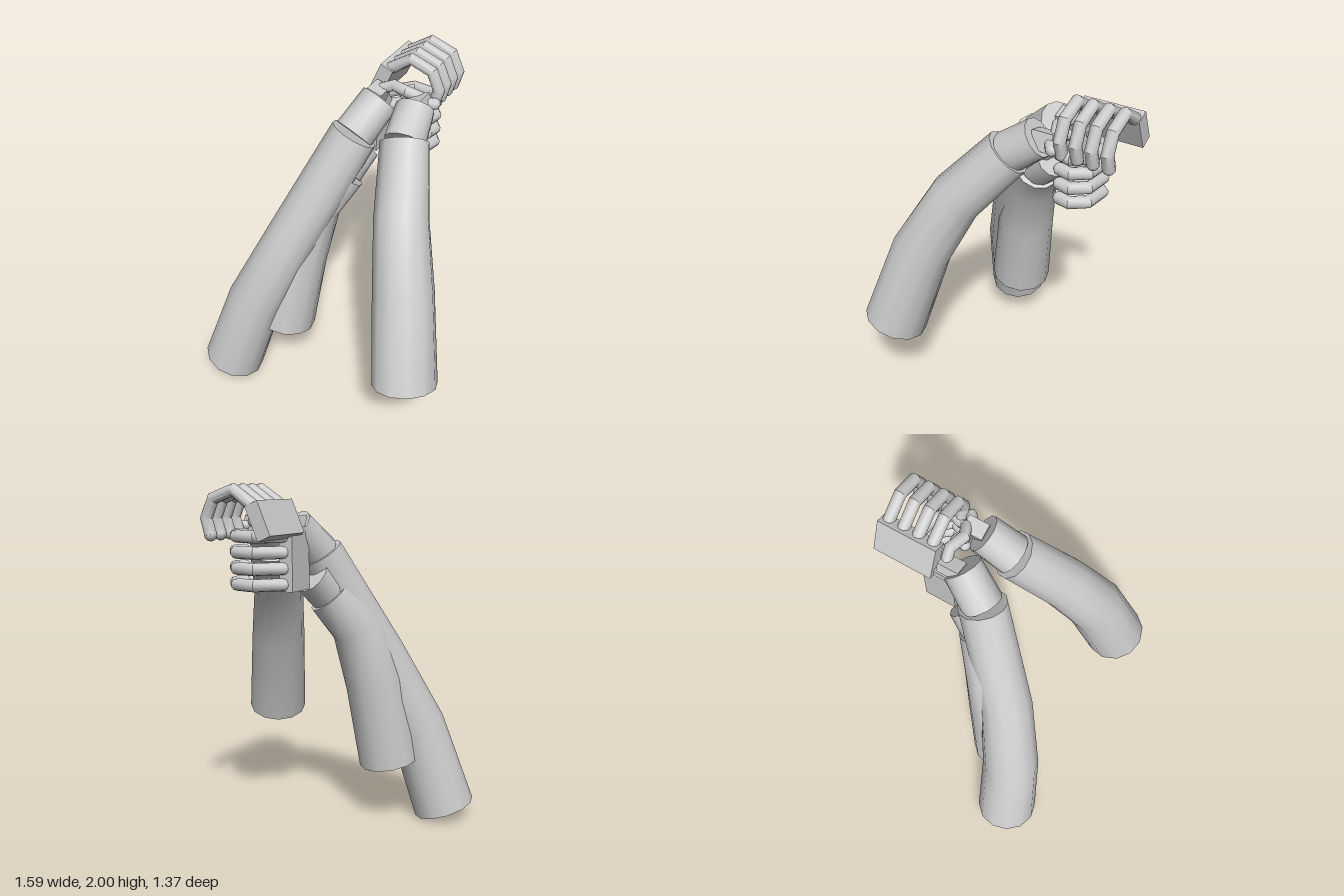
import * as THREE from 'three';
import { toCreasedNormals } from 'three/addons/utils/BufferGeometryUtils.js';

const material = new THREE.MeshStandardMaterial({ color: 0xcccccc });
const vec = (p) => new THREE.Vector3(...p);

// Capped tube through a few points, with one radius per point
function loft(path, radii, sides) {
  const pts = path.map(vec), pos = [], idx = [];
  const last = pts.length - 1;
  pts.forEach((p, i) => {
    const t = new THREE.Vector3();
    if (i > 0) t.add(p.clone().sub(pts[i - 1]).normalize());
    if (i < last) t.add(pts[i + 1].clone().sub(p).normalize());
    t.normalize();
    const ref = vec(Math.abs(pts[last].z - pts[0].z) > 0.1 ? [1, 0, 0] : [0, 0, 1]);
    // fingers lying in the ground plane use a vertical reference
    if (Math.abs(pts[last].y - pts[0].y) < 0.02) ref.set(0, 1, 0);
    const u = ref.addScaledVector(t, -ref.dot(t)).normalize();
    const v = t.clone().cross(u);
    for (let j = 0; j < sides; j++) {
      const a = (j / sides) * Math.PI * 2;
      const q = p.clone().addScaledVector(u, Math.cos(a) * radii[i]).addScaledVector(v, Math.sin(a) * radii[i]);
      pos.push(q.x, q.y, q.z);
    }
  });
  const first = pos.length / 3;
  pos.push(...pts[0].toArray(), ...pts[last].toArray());
  for (let j = 0; j < sides; j++) {
    const k = (j + 1) % sides;
    for (let i = 0; i < last; i++) {
      const a = i * sides + j, b = i * sides + k;
      idx.push(a, b, b + sides, a, b + sides, a + sides);
    }
    idx.push(first, k, j, first + 1, last * sides + j, last * sides + k);
  }
  const geo = new THREE.BufferGeometry();
  geo.setAttribute('position', new THREE.Float32BufferAttribute(pos, 3));
  geo.setIndex(idx);
  return toCreasedNormals(geo, 0.65);
}

function add(parent, name, geo) {
  const mesh = new THREE.Mesh(geo, material);
  mesh.name = name;
  parent.add(mesh);
  return mesh;
}

// Bent finger with rounded ends
function addFinger(parent, name, path, r) {
  const finger = new THREE.Group();
  finger.name = name;
  add(finger, 'fingerTube', loft(path, path.map(() => r), 10));
  for (const end of [path[0], path[path.length - 1]])
    add(finger, 'fingerEnd', new THREE.SphereGeometry(r, 10, 8)).position.set(...end);
  parent.add(finger);
}

function addPalm(parent, size, position, tilt) {
  const palm = add(parent, 'palm', new THREE.BoxGeometry(...size));
  palm.position.set(...position);
  palm.rotation.z = tilt;
}

// Sleeve rings run from the open end up to the cuff; the wrist continues from there
function addArm(parent, name, sleeve, wristEnd) {
  const arm = new THREE.Group();
  arm.name = name;
  add(arm, 'sleeve', loft(sleeve, [0.182, 0.167, 0.149, 0.135], 12));
  add(arm, 'wrist', loft([sleeve[3], wristEnd], [0.115, 0.108], 12));
  parent.add(arm);
  return arm;
}

export function createModel() {
  const model = new THREE.Group();
  model.name = 'claspedArms';

  const rightArm = addArm(model, 'rightArm',
    [[-0.62, 0.06, 0.43], [-0.46, 0.57, 0.36], [-0.27, 1.02, 0.215], [-0.03, 1.61, -0.07]], [0.04, 1.765, -0.23]);
  const leftArm = addArm(model, 'leftArm',
    [[0.615, 0.525, 0.515], [0.51, 1.03, 0.36], [0.4, 1.36, 0.19], [0.28, 1.65, -0.065]], [0.255, 1.77, -0.23]);
  const rearArm = addArm(model, 'rearArm',
    [[-0.34, 0.37, 0.24], [-0.27, 0.85, 0.16], [-0.195, 1.19, 0.075], [-0.08, 1.38, -0.04]], [-0.03, 1.495, -0.165]);

  // Upper hand: fingers arch over towards +x
  addPalm(rightArm, [0.08, 0.19, 0.34], [-0.015, 1.813, -0.51], -0.41);
  for (let i = 0; i < 4; i++) {
    const z = -0.385 - i * 0.086;
    addFinger(rightArm, 'upperFinger', [[0.03, 1.885, z], [0.15, 1.965, z], [0.275, 1.92, z],
      [0.32, 1.82, z], [0.295, 1.735, z]], 0.034);
  }

  // Lower hand: fingers arch back and round towards +x
  addPalm(rearArm, [0.08, 0.34, 0.18], [-0.015, 1.6, -0.32], 0);
  for (let i = 0; i < 4; i++) {
    const y = 1.468 + i * 0.085;
    addFinger(rearArm, 'lowerFinger', [[0, y, -0.4], [0.11, y, -0.527], [0.23, y, -0.51],
      [0.29, y, -0.43], [0.275, y, -0.365]], 0.034);
  }

  // Hand roots and thumbs between the wrists
  for (const [arm, x, tilt] of [[rightArm, 0, -0.3], [leftArm, 0.26, 0.3]]) {
    const root = add(arm, 'handRoot', new THREE.BoxGeometry(0.09, 0.1, 0.12));
    root.position.set(x, 1.765, -0.27);
    root.rotation.z = tilt;
  }
  addFinger(rightArm, 'thumb', [[-0.01, 1.78, -0.3], [0.08, 1.82, -0.32], [0.17, 1.82, -0.29], [0.24, 1.79, -0.32]], 0.032);
  addFinger(leftArm, 'thumb', [[0.32, 1.76, -0.34], [0.25, 1.78, -0.285], [0.15, 1.77, -0.33]], 0.032);
  addFinger(rearArm, 'thumb', [[0, 1.47, -0.36], [0.05, 1.465, -0.4], [0.11, 1.465, -0.38]], 0.03);
  return model;
}
